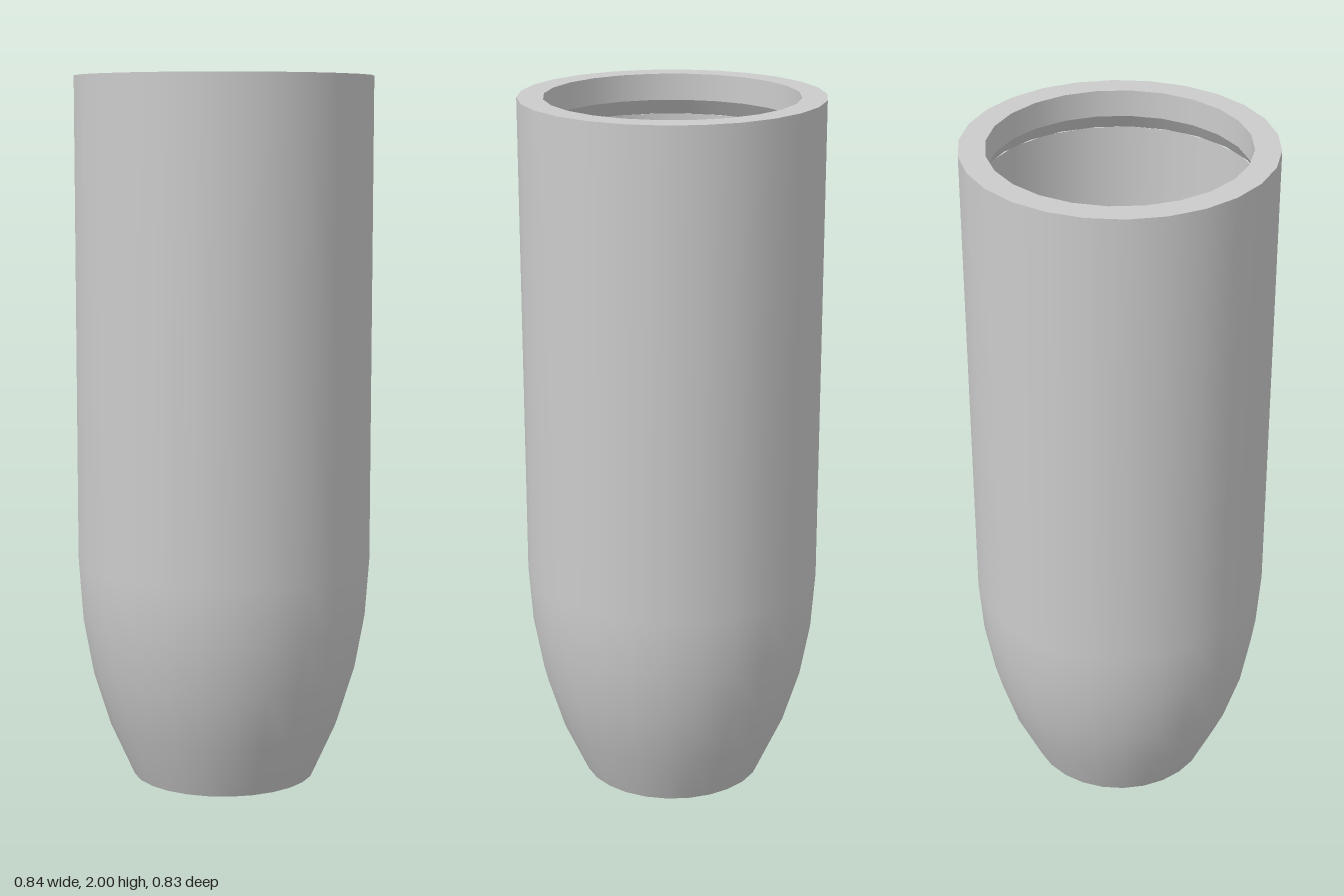
import * as THREE from 'three';

const OUTER_SIDES = 26, INNER_SIDES = 24, FLOOR_SIDES = 20;
const HOLE = 0.017, FLOOR_Y = 0.05;

export function createModel() {
  const group = new THREE.Group();
  const material = new THREE.MeshStandardMaterial({ color: 0xcccccc });

  const add = (name, geometry) => {
    const mesh = new THREE.Mesh(geometry, material);
    mesh.name = name;
    group.add(mesh);
  };

  // Revolved wall; a profile running upwards faces outwards, downwards faces inwards
  const revolve = (name, profile, sides) => add(name, new THREE.LatheGeometry(
    profile.map(([r, y]) => new THREE.Vector2(r, y)), sides, Math.PI / 2));

  const polygon = (radius, sides) => Array.from({ length: sides }, (_, i) => {
    const a = (i / sides) * Math.PI * 2;
    return new THREE.Vector2(radius * Math.cos(a), radius * Math.sin(a));
  });

  // Flat ring whose outer and inner edges may have different side counts
  const ring = (name, y, r1, sides1, r2, sides2, up) => {
    const shape = new THREE.Shape(polygon(r1, sides1));
    shape.holes.push(new THREE.Path(polygon(r2, sides2)));
    add(name, new THREE.ShapeGeometry(shape)
      .rotateX(up ? -Math.PI / 2 : Math.PI / 2).translate(0, y, 0));
  };

  // Outside: curved taper rising into a straight barrel
  revolve('outerShell', [[0.262, 0], [0.332, 0.155], [0.38, 0.31],
    [0.408, 0.465], [0.42, 0.63], [0.42, 2]], OUTER_SIDES);

  // Mouth: flat rim, short narrow lip and the undercut behind it
  ring('rim', 2, 0.42, OUTER_SIDES, 0.35, INNER_SIDES, true);
  revolve('lip', [[0.35, 2], [0.35, 1.925]], INNER_SIDES);
  revolve('lipUndercut', [[0.35, 1.925], [0.38, 1.88]], INNER_SIDES);

  // Hollow inside following the outer taper
  revolve('cavityWall', [[0.38, 1.88], [0.38, 0.63], [0.37, 0.465],
    [0.342, 0.31], [0.296, 0.155], [0.241, FLOOR_Y]], FLOOR_SIDES);

  // Floor and base, pierced by a small drain hole
  ring('cavityFloor', FLOOR_Y, 0.241, FLOOR_SIDES, HOLE, 16, true);
  ring('base', 0, 0.262, OUTER_SIDES, HOLE, 16, false);
  revolve('drainHole', [[HOLE, FLOOR_Y], [HOLE, 0]], 16);

  return group;
}
